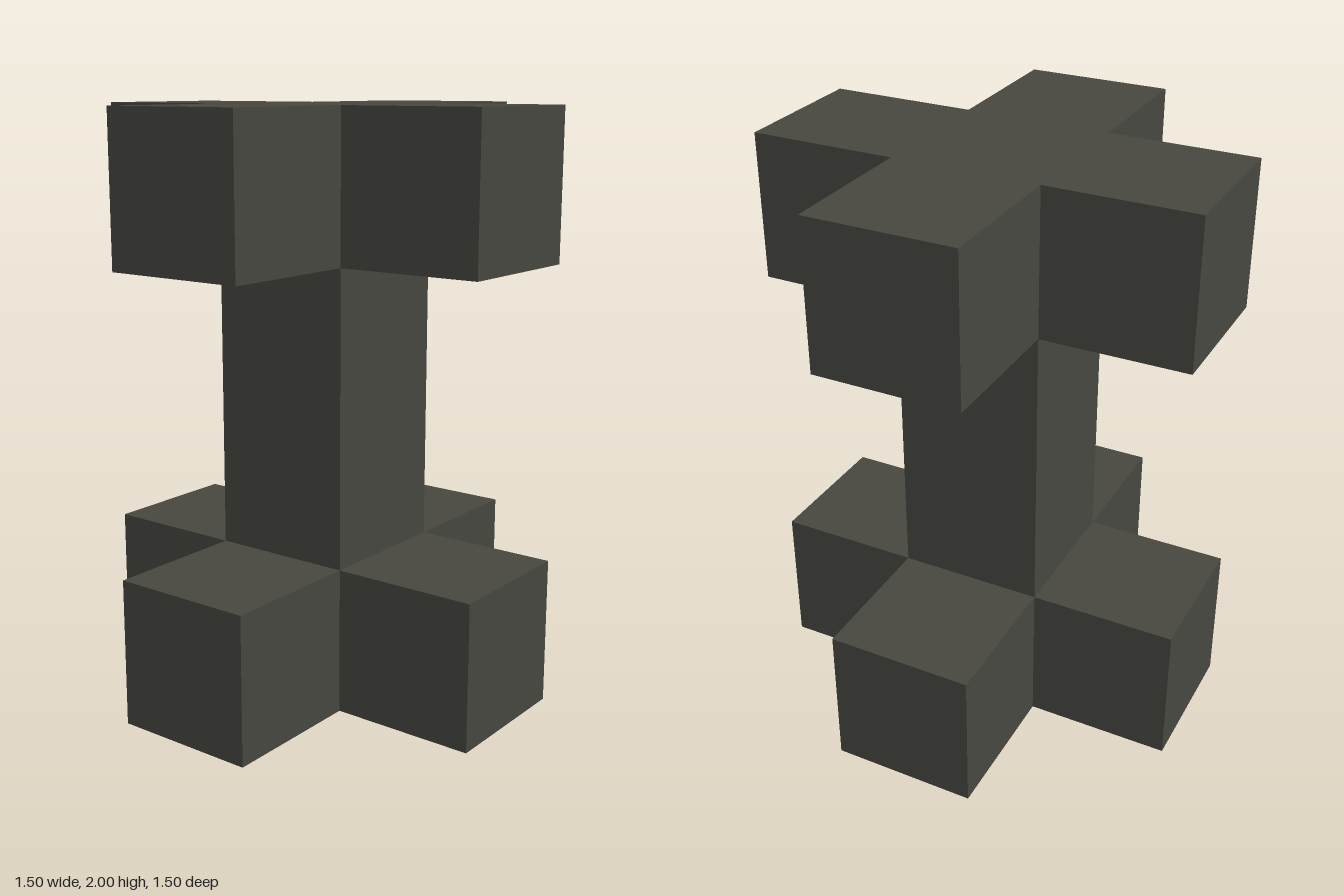
import * as THREE from 'three';

const ARM = 0.75;   // reach of each arm from the centre
const HALF = 0.25;  // half the width of arms and column
const THICK = 0.5;  // height of each cross

// Plus-shaped outline, one quarter turned four times
function crossShape() {
  const points = [];
  for (let i = 0; i < 4; i++) {
    for (const [x, y] of [[ARM, -HALF], [ARM, HALF], [HALF, HALF]]) {
      const p = new THREE.Vector2(x, y);
      for (let k = 0; k < i; k++) p.set(-p.y, p.x);
      points.push(p);
    }
  }
  return new THREE.Shape(points);
}

export function createModel() {
  const group = new THREE.Group();
  group.name = 'crossEndedColumn';

  const charcoal = new THREE.MeshStandardMaterial({ color: 0x474740 });
  charcoal.name = 'charcoal';

  // Matching crosses at the foot and the head
  const crossGeometry = new THREE.ExtrudeGeometry(crossShape(), { depth: THICK, bevelEnabled: false });
  crossGeometry.rotateX(-Math.PI / 2);
  for (const [name, y] of [['baseCross', 0], ['topCross', 1.5]]) {
    const cross = new THREE.Mesh(crossGeometry, charcoal);
    cross.name = name;
    cross.position.y = y;
    group.add(cross);
  }

  // Square column between the crosses
  const column = new THREE.Mesh(new THREE.BoxGeometry(2 * HALF, 1, 2 * HALF), charcoal);
  column.name = 'column';
  column.position.y = 1;
  group.add(column);

  return group;
}
